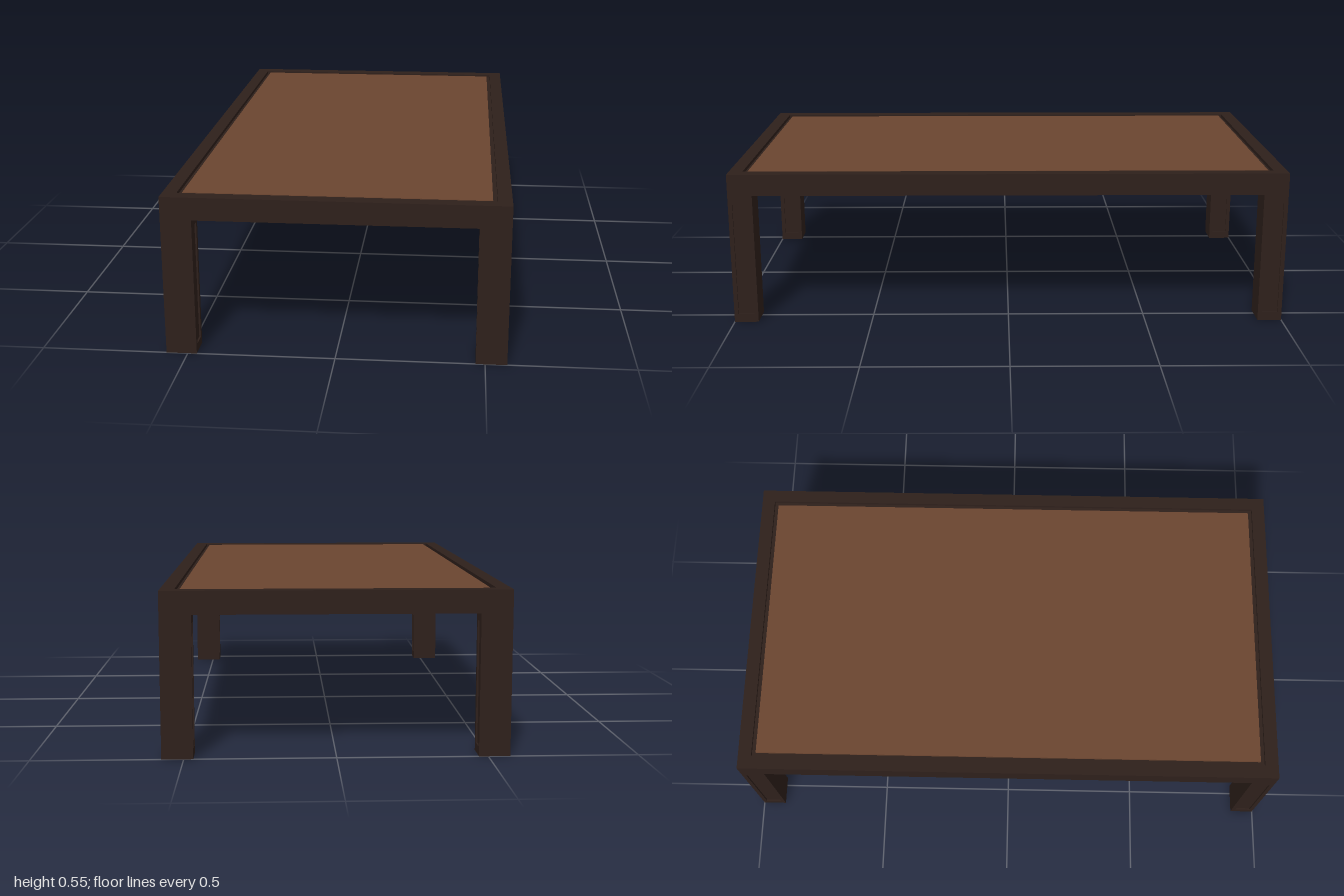
import * as THREE from 'three';

const W = 1.146, D = 2, H = 0.553, TOP_T = 0.078;
const LEG_H = H - TOP_T, LEG_W = 0.104, LEG_D = 0.087;

const rect = (path, x0, y0, x1, y1) => {
  path.moveTo(x0, y0);
  path.lineTo(x1, y0);
  path.lineTo(x1, y1);
  path.lineTo(x0, y1);
  path.closePath();
  return path;
};

// Rectangular plate with a rectangular opening, extruded along +z
function frameGeometry(outer, inner, depth) {
  const shape = rect(new THREE.Shape(), ...outer);
  shape.holes.push(rect(new THREE.Path(), ...inner));
  return new THREE.ExtrudeGeometry(shape, { depth, bevelEnabled: false });
}

export function createModel() {
  const group = new THREE.Group();
  const darkWood = new THREE.MeshStandardMaterial({ color: 0x2e201b });
  const warmWood = new THREE.MeshStandardMaterial({ color: 0x6b4530 });

  const add = (parent, name, geometry, material, x = 0, y = 0, z = 0) => {
    const mesh = new THREE.Mesh(geometry, material);
    mesh.name = name;
    mesh.position.set(x, y, z);
    parent.add(mesh);
    return mesh;
  };

  // Table top: outer rim, a base inside it that leaves a groove, and the inlay
  const rimX = 0.525, rimZ = 0.951, grooveY = H - 0.012;
  const rim = frameGeometry([-W / 2, -D / 2, W / 2, D / 2], [-rimX, -rimZ, rimX, rimZ], TOP_T);
  rim.rotateX(-Math.PI / 2);
  add(group, 'topRim', rim, darkWood, 0, LEG_H, 0);
  const baseT = grooveY - LEG_H;
  add(group, 'topBase', new THREE.BoxGeometry(2 * rimX, baseT, 2 * rimZ), darkWood, 0, LEG_H + baseT / 2, 0);
  const inlayT = 0.009;
  add(group, 'topInlay', new THREE.BoxGeometry(1.02, inlayT, 1.872), warmWood, 0, grooveY + inlayT / 2, 0);

  // Legs: shallow recessed panels on the two side faces
  const m = 0.015, y0 = 0.03, y1 = 0.445, recess = 0.006;
  const legFrame = frameGeometry(
    [-LEG_D / 2, 0, LEG_D / 2, LEG_H],
    [-LEG_D / 2 + m, y0, LEG_D / 2 - m, y1],
    LEG_W
  );
  legFrame.translate(0, 0, -LEG_W / 2).rotateY(Math.PI / 2);
  const legPanel = new THREE.BoxGeometry(LEG_W - 2 * recess, y1 - y0, LEG_D - 2 * m);

  for (const sx of [-1, 1]) {
    for (const sz of [-1, 1]) {
      const leg = new THREE.Group();
      leg.name = (sz > 0 ? 'front' : 'back') + (sx > 0 ? 'Left' : 'Right') + 'Leg';
      leg.position.set(sx * (W - LEG_W) / 2, 0, sz * (D - LEG_D) / 2);
      add(leg, 'legFrame', legFrame, darkWood);
      add(leg, 'legPanel', legPanel, darkWood, 0, (y0 + y1) / 2, 0);
      group.add(leg);
    }
  }
  return group;
}
